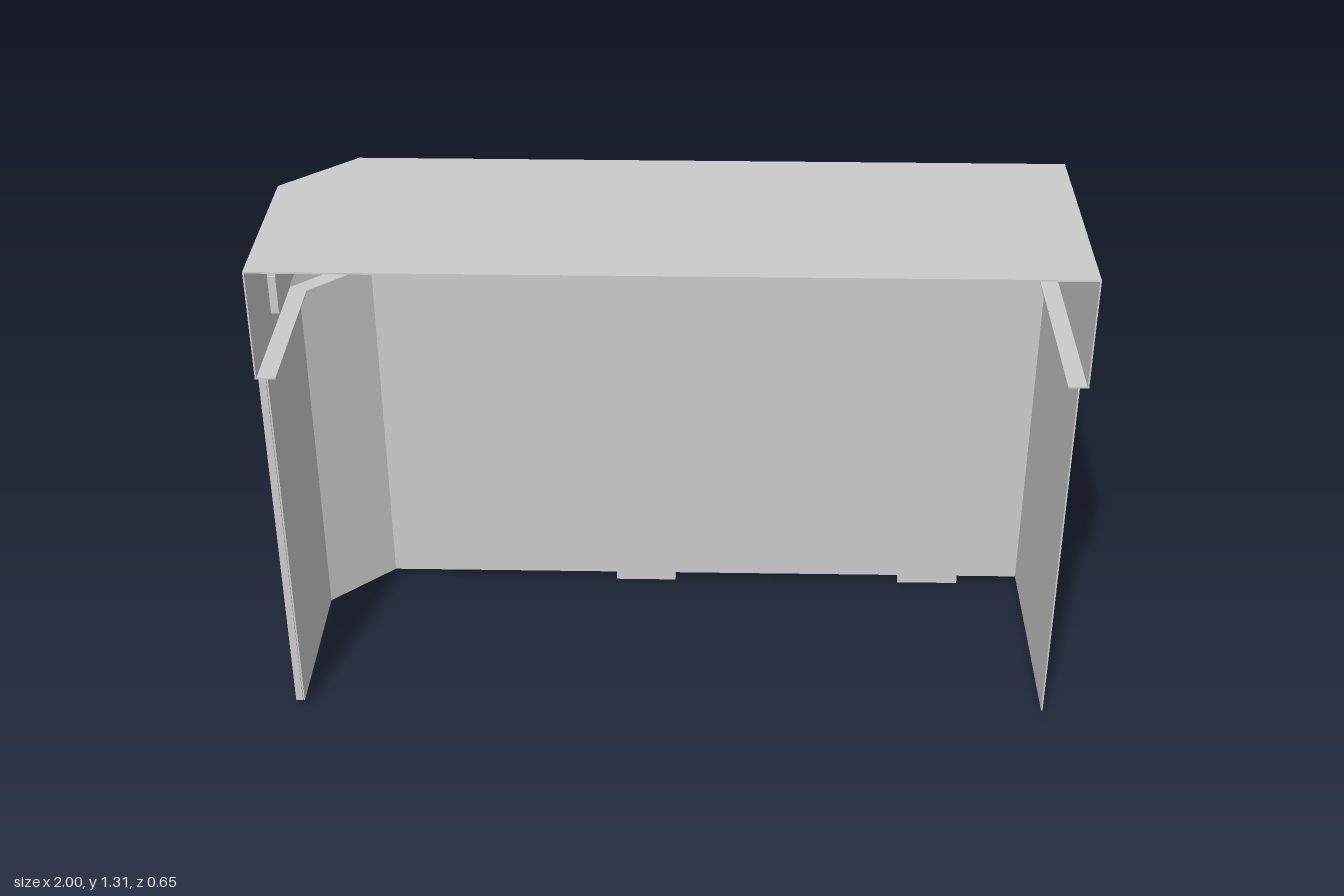
import * as THREE from 'three';

const material = new THREE.MeshStandardMaterial({ color: 0xcccccc, flatShading: true, side: THREE.DoubleSide });

// Plan outlines as [x, z], running from the open front on +x round the back to -x
const HEADER = [[1, 0.33], [1, -0.315], [-0.82, -0.315], [-1, -0.14], [-1, 0.33]];
const WALL = [[0.98, 0.32], [0.98, -0.29], [-0.81, -0.29], [-0.975, -0.13], [-0.975, 0.32]];

// Part of an outline between two distances along it
function section(path, s0, s1) {
  const out = [];
  let s = 0;
  for (let i = 0; i < path.length - 1; i++) {
    const [a, b] = [path[i], path[i + 1]];
    const len = Math.hypot(b[0] - a[0], b[1] - a[1]);
    const at = (d) => [a[0] + (b[0] - a[0]) * d / len, a[1] + (b[1] - a[1]) * d / len];
    const from = Math.max(s0 - s, 0), to = Math.min(s1 - s, len);
    if (to - from > 1e-6) {
      if (!out.length) out.push(at(from));
      out.push(at(to));
    }
    s += len;
  }
  return out;
}

// Outline moved inwards, mitred at the corners
function inset(path, d) {
  const normals = path.slice(1).map((p, i) => {
    const dx = p[0] - path[i][0], dz = p[1] - path[i][1], l = Math.hypot(dx, dz);
    return [dz / l, -dx / l];
  });
  return path.map((p, i) => {
    const a = normals[Math.max(i - 1, 0)], b = normals[Math.min(i, normals.length - 1)];
    const k = d / (1 + a[0] * b[0] + a[1] * b[1]);
    return [p[0] + (a[0] + b[0]) * k, p[1] + (a[1] + b[1]) * k];
  });
}

function createModel() {
  const model = new THREE.Group();
  model.name = 'stall';

  const add = (name, geometry) => {
    const mesh = new THREE.Mesh(geometry, material);
    mesh.name = name;
    model.add(mesh);
    return mesh;
  };
  const slab = (name, points, y0, y1) => {
    const shape = new THREE.Shape(points.map(([x, z]) => new THREE.Vector2(x, -z)));
    const g = new THREE.ExtrudeGeometry(shape, { depth: y1 - y0, bevelEnabled: false });
    add(name, g.rotateX(-Math.PI / 2).translate(0, y0, 0));
  };
  // Upright sheet following an outline, between two insets
  const sheet = (name, path, d0, d1, y0, y1) =>
    slab(name, [...inset(path, d0), ...inset(path, d1).reverse()], y0, y1);
  const box = (name, x0, x1, y0, y1, z0, z1) =>
    add(name, new THREE.BoxGeometry(x1 - x0, y1 - y0, z1 - z0)
      .translate((x0 + x1) / 2, (y0 + y1) / 2, (z0 + z1) / 2));

  // Roof and header bands above and below the windows
  const T = 0.004, DEEP = 0.024, LOW = 1.08, HIGH = 1.18;
  slab('roof', HEADER, 1.306, 1.31);
  sheet('headerTop', HEADER, 0, T, HIGH, 1.306);
  sheet('headerBottom', HEADER, 0, T, 1.02, LOW);
  sheet('headerLedge', HEADER, 0, 0.05, 1.02, 1.024);

  // Recessed windows, the last one wrapping round the cut corner, with piers between
  const back = (x) => 0.645 + 1 - x;
  const windows = [[back(0.89), back(0.28)], [back(0.13), back(-0.47)], [back(-0.6), 2.956]];
  let start = 0;
  for (const [a, b] of [...windows, [3.186, null]]) {
    sheet('headerPier', section(HEADER, start, a), 0, T, LOW, HIGH);
    if (b === null) break;
    const path = section(HEADER, a, b);
    sheet('windowPane', path, 0.02, DEEP, LOW, HIGH);
    sheet('windowHead', path, 0, DEEP, HIGH, HIGH + T);
    sheet('windowSill', path, 0, DEEP, LOW - T, LOW);
    sheet('windowJamb', section(HEADER, a - T, a), 0, DEEP, LOW, HIGH);
    sheet('windowJamb', section(HEADER, b, b + T), 0, DEEP, LOW, HIGH);
    start = b;
  }

  // Thin wall, thicker cladding at the cut corner and on the -x side
  sheet('wall', WALL, 0, T, 0.03, 1.02);
  sheet('cornerCladding', section(HEADER, back(-0.63), 2.515), 0.006, 0.024, 0.03, 1.02);
  sheet('sideCladding', section(HEADER, 2.656, 3.176), 0.006, 0.024, 0.03, 1.02);
  sheet('cornerRail', section(HEADER, 2.515, 2.656), 0.012, 0.024, 0.16, 0.18);

  // Battens and feet on the back
  for (let k = 0; k < 9; k++) {
    const x = 0.805 - 0.16 * k;
    box('batten', x - 0.08, x, 0.3, 1.02, -0.304, -0.289);
  }
  for (const x of [0.64, -0.17]) box('foot', x, x + 0.17, 0, 0.36, -0.306, -0.292);

  // Boards fixed over the battens
  box('largeBoard', 0.4, 0.88, 0.305, 0.675, -0.312, -0.296);
  box('shortBoard', 0.05, 0.4, 0.22, 0.38, -0.317, -0.296);
  box('longBoard', -0.75, 0.035, 0.22, 0.38, -0.317, -0.296);

  // Two small hooks hanging below the large board
  box('hookRail', 0.4, 0.64, 0.29, 0.305, -0.306, -0.29);
  for (const x of [0.6, 0.49]) {
    add('hookRod', new THREE.CylinderGeometry(0.004, 0.004, 0.07, 8)).position.set(x, 0.265, -0.312);
    add('hookEnd', new THREE.CylinderGeometry(0.005, 0.013, 0.018, 10)).position.set(x, 0.23, -0.312);
  }
  return model;
}

export { createModel };
